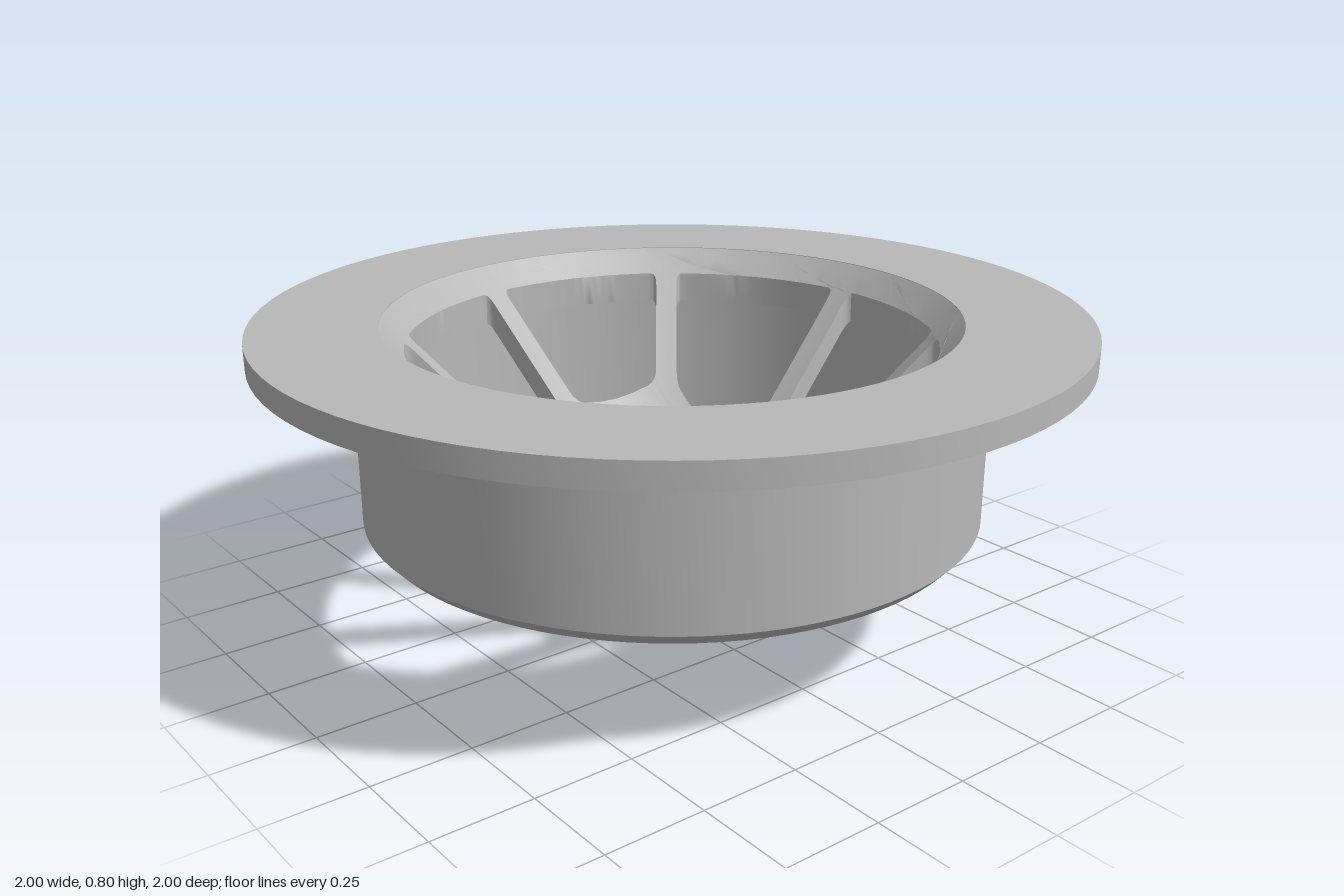
import * as THREE from 'three';
import { toCreasedNormals } from 'three/addons/utils/BufferGeometryUtils.js';

const SLOPE = 1.07, BASE = -0.01, THICK = 0.077; // cone basket
const RIM = 0.695, HALF_BAR = 0.028, HOLE = 0.64;
const V = (x, y) => new THREE.Vector2(x, y);

// Basket web in plan (x, z): junctions around the middle, and where spokes meet the rim
const nodes = {
  A: [-0.028, -0.24], B: [0.21, -0.24], C: [0.33, -0.05], D: [0.24, 0.18], E: [0.04, 0.215],
  M: [-0.05, 0.17], F: [-0.18, 0.195], G: [-0.365, 0.04], H: [-0.32, -0.23],
};
const spokeEnds = {
  A: [-0.075, -0.64], B: [0.385, -0.53], C: [0.64, -0.077], D: [0.505, 0.41],
  E: [0.082, 0.64], F: [-0.38, 0.52], G: [-0.63, 0.11], H: [-0.52, -0.385],
};
const innerCells = ['ABCDEM', 'AMFGH'];
const outerCells = ['AB', 'BC', 'CD', 'DE', 'EMF', 'FG', 'GH', 'HA'];

const node = (k) => V(...nodes[k]);

// Cell between two spokes, closed by an arc along the rim
function outerCell(keys) {
  const pts = [...keys].map(node);
  const angle = (k) => Math.atan2(spokeEnds[k][1], spokeEnds[k][0]);
  const a0 = angle(keys[keys.length - 1]);
  let a1 = angle(keys[0]);
  if (a1 > a0 + Math.PI) a1 -= 2 * Math.PI;
  if (a1 < a0 - Math.PI) a1 += 2 * Math.PI;
  const n = Math.max(4, Math.round(Math.abs(a1 - a0) / 0.1));
  for (let i = 0; i <= n; i++) {
    const a = a0 + (a1 - a0) * i / n, r = HOLE + HALF_BAR;
    pts.push(V(Math.cos(a) * r, Math.sin(a) * r));
  }
  return pts;
}

// Shrink a polygon by half a bar width
function inset(pts, d) {
  if (THREE.ShapeUtils.isClockWise(pts)) pts.reverse();
  const n = pts.length;
  const lines = pts.map((p, i) => {
    const dir = pts[(i + 1) % n].clone().sub(p).normalize();
    return { p: p.clone().add(V(-dir.y, dir.x).multiplyScalar(d)), dir };
  });
  return lines.map((l, i) => {
    const k = lines[(i + n - 1) % n];
    const t = l.p.clone().sub(k.p).cross(l.dir) / k.dir.cross(l.dir);
    return k.p.clone().addScaledVector(k.dir, t);
  });
}

// Round each corner with a short curve
function roundCorners(pts, size) {
  const n = pts.length, out = [];
  pts.forEach((p, i) => {
    const toward = (q) => {
      const len = p.distanceTo(q);
      return p.clone().lerp(q, Math.min(size, len * 0.4) / len);
    };
    const curve = new THREE.QuadraticBezierCurve(
      toward(pts[(i + n - 1) % n]), p, toward(pts[(i + 1) % n]));
    out.push(...curve.getPoints(4));
  });
  return out;
}

// Split long edges (measured in plan) so the flat web can bend into a cone
function subdivide(a, b, c, max, out) {
  const len = (p, q) => Math.hypot(p.x - q.x, p.y - q.y);
  const ab = len(a, b), bc = len(b, c), ca = len(c, a);
  const longest = Math.max(ab, bc, ca);
  if (longest <= max) { out.push(a, b, c); return; }
  if (longest === bc) [a, b, c] = [b, c, a];
  else if (longest === ca) [a, b, c] = [c, a, b];
  const m = a.clone().lerp(b, 0.5);
  subdivide(a, m, c, max, out);
  subdivide(m, b, c, max, out);
}

function basketGeometry() {
  const circle = Array.from({ length: 96 }, (_, i) => {
    const a = i / 96 * Math.PI * 2;
    return V(Math.cos(a) * RIM, Math.sin(a) * RIM);
  });
  const shape = new THREE.Shape(circle);
  const cells = [...innerCells.map((k) => [...k].map(node)), ...outerCells.map(outerCell)];
  for (const cell of cells) {
    shape.holes.push(new THREE.Path(roundCorners(inset(cell, HALF_BAR), 0.025)));
  }
  let flat = new THREE.ExtrudeGeometry(shape, { depth: 1, bevelEnabled: false });
  if (flat.index) flat = flat.toNonIndexed();
  const pos = flat.attributes.position, tris = [];
  const at = (i) => new THREE.Vector3().fromBufferAttribute(pos, i);
  for (let i = 0; i < pos.count; i += 3) subdivide(at(i), at(i + 1), at(i + 2), 0.05, tris);
  // Bend into the cone: depth 0 is the upper skin, depth 1 the lower
  const bent = tris.map((p) => new THREE.Vector3(
    p.x, BASE + SLOPE * Math.hypot(p.x, p.y) + THICK * (1 - p.z), p.y));
  const geo = new THREE.BufferGeometry().setFromPoints(bent);
  geo.computeVertexNormals();
  return toCreasedNormals(geo, 0.5);
}

export function createModel() {
  const model = new THREE.Group();
  model.name = 'drainStrainer';
  const grey = new THREE.MeshStandardMaterial({ color: 0xb8b8b8 });
  grey.name = 'grey';

  // Flange and sleeve as one closed turned profile
  const profile = [
    [RIM, 0.305], [0.735, 0.305], [0.763, 0.335], [0.763, 0.75],
    [1, 0.75], [1, 0.812], [RIM, 0.812], [RIM, 0.305],
  ].map(([r, y]) => V(r, y));
  const body = new THREE.Mesh(toCreasedNormals(new THREE.LatheGeometry(profile, 96), 0.5), grey);
  body.name = 'flangeAndSleeve';

  // Cone-shaped web of bars
  const basket = new THREE.Mesh(basketGeometry(), grey);
  basket.name = 'coneBasket';

  model.add(body, basket);
  return model;
}
